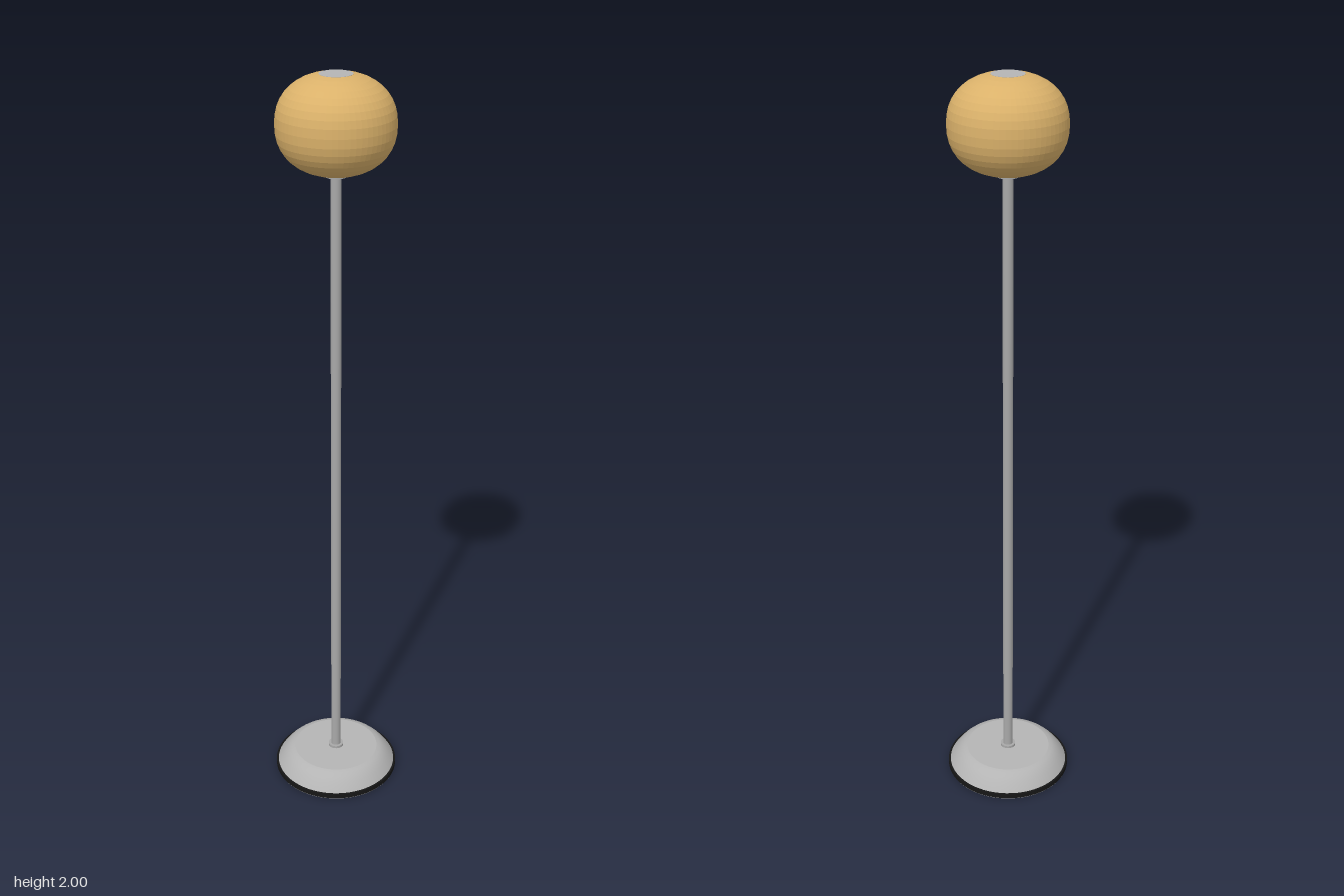
import * as THREE from 'three';

const material = (name, color, flatShading = false) => {
  const m = new THREE.MeshStandardMaterial({ color, flatShading });
  m.name = name;
  return m;
};

export function createModel() {
  const metal = material('brushed metal', 0xa8a8a8);
  const paleMetal = material('pale metal', 0xb4b4b4);
  const felt = material('grey felt', 0x888888);
  const rubber = material('black rubber', 0x161616);
  const amber = material('amber glass', 0xdab16a, true);

  const lamp = new THREE.Group();
  lamp.name = 'floorLamp';
  const add = (name, geometry, mat, y = 0) => {
    const mesh = new THREE.Mesh(geometry, mat);
    mesh.name = name;
    mesh.position.y = y;
    lamp.add(mesh);
  };
  // Upright cylinder standing between two heights
  const rod = (name, radius, y0, y1, mat) =>
    add(name, new THREE.CylinderGeometry(radius, radius, y1 - y0, 64), mat, (y0 + y1) / 2);
  // Turned surface from [radius, height] pairs, bottom to top
  const turned = (name, profile, mat, y = 0) =>
    add(name, new THREE.LatheGeometry(profile.map(p => new THREE.Vector2(...p)), 64), mat, y);

  // Foot: felt underside, black rim and a shallow domed plate
  rod('basePad', 0.172, 0, 0.004, felt);
  rod('baseRim', 0.173, 0.002, 0.015, rubber);
  turned('baseDome', [[0.168, 0.014], [0.163, 0.022], [0.151, 0.038], [0.139, 0.05], [0.128, 0.057], [0.118, 0.06]], paleMetal);
  add('baseTop', new THREE.CircleGeometry(0.118, 64).rotateX(-Math.PI / 2), paleMetal, 0.06);
  rod('baseCollar', 0.021, 0.058, 0.067, metal);

  // Pole in two joined lengths
  rod('lowerPole', 0.0135, 0.06, 1.15, metal);
  rod('upperPole', 0.0135, 1.15, 1.765, metal);
  rod('globeCollar', 0.027, 1.754, 1.766, metal);

  // Flattened, slightly squared globe, cut off flat at both ends
  const rows = 18, power = 0.88, radius = 0.147, halfHeight = 0.1215;
  const limit = Math.acos((0.041 / radius) ** (1 / power));
  const globe = [];
  for (let i = 0; i <= rows; i++) {
    const a = limit * (2 * i / rows - 1);
    globe.push([radius * Math.cos(a) ** power, halfHeight * Math.sign(a) * Math.abs(Math.sin(a)) ** power]);
  }
  turned('globe', globe, amber, 1.881);
  rod('globeCap', 0.041, 1.993, 2, paleMetal);
  rod('globeFloor', 0.041, 1.762, 1.768, amber);

  return lamp;
}
